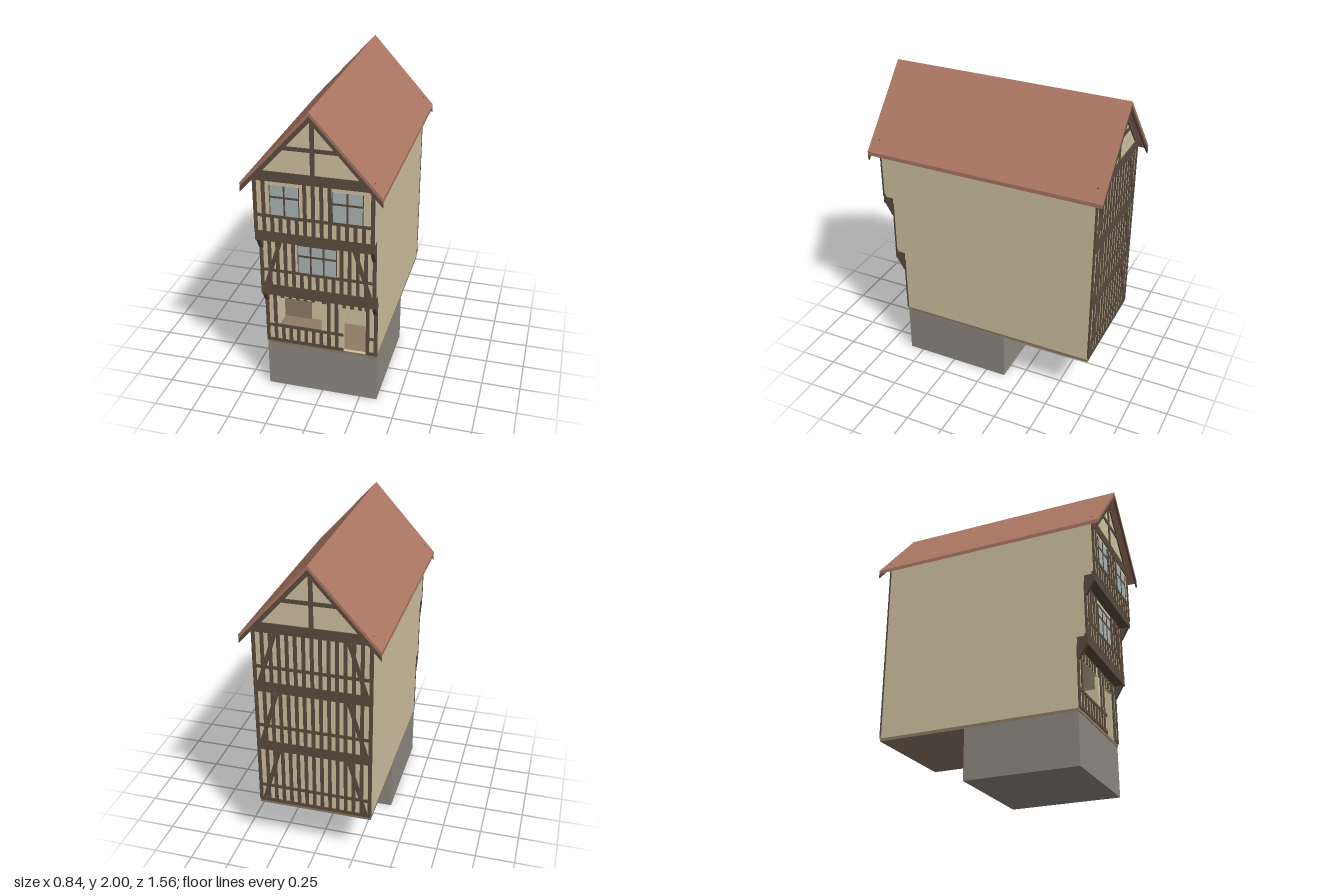
import * as THREE from 'three';

const mat = (name, color) => Object.assign(new THREE.MeshStandardMaterial({ color }), { name });

export function createModel() {
  const cream = mat('plaster', 0xd2c3a2);
  const wood = mat('dark timber', 0x5c4d40);
  const tan = mat('light timber', 0x8f7b66);
  const stone = mat('stone', 0x8f8a83);
  const tile = mat('roof tile', 0xab7763);
  const glass = mat('glass', 0xadb7b7);

  const model = new THREE.Group();
  model.name = 'timberHouse';

  const add = (name, geo, m, parent = model) => {
    const mesh = new THREE.Mesh(geo, m);
    mesh.name = name;
    parent.add(mesh);
    return mesh;
  };
  // Box given by its extents
  const box = (name, m, x0, x1, y0, y1, z0, z1, parent) => {
    const mesh = add(name, new THREE.BoxGeometry(x1 - x0, y1 - y0, z1 - z0), m, parent);
    mesh.position.set((x0 + x1) / 2, (y0 + y1) / 2, (z0 + z1) / 2);
    return mesh;
  };
  const poly = (pts, Type = THREE.Shape) => new Type(pts.map(p => new THREE.Vector2(...p)));
  const rect = (x0, x1, y0, y1) => [[x0, y0], [x1, y0], [x1, y1], [x0, y1]];
  // Outline in x and y, extruded from z0 to z1
  const slab = (name, m, shape, z0, z1, parent) => {
    const geo = new THREE.ExtrudeGeometry(shape, { depth: z1 - z0, bevelEnabled: false });
    return add(name, geo.translate(0, 0, z0), m, parent);
  };

  const W = 0.36, BACK = -0.725;
  const SLOPE = 0.465 / 0.42;
  const roofY = (x, drop) => 2 - drop - SLOPE * Math.abs(x);

  // Plinth and floor plate
  box('plinth', stone, -0.362, 0.362, 0, 0.325, -0.135, 0.595);
  box('floorPlate', tan, -W, W, 0.325, 0.345, BACK, 0.6);

  // Hollow ground floor with shop window and doorway
  const front = poly(rect(-W, W, 0.345, 0.74));
  front.holes.push(poly(rect(-0.29, 0, 0.46, 0.68), THREE.Path));
  front.holes.push(poly(rect(0.145, 0.29, 0.347, 0.67), THREE.Path));
  slab('groundFrontWall', cream, front, 0.58, 0.6);
  box('groundRear', cream, -W, W, 0.345, 0.74, BACK, 0.3);
  for (const s of [-1, 1]) {
    const a = s * W, b = s * (W - 0.02);
    box('groundSideWall', cream, Math.min(a, b), Math.max(a, b), 0.345, 0.74, 0.3, 0.58);
  }
  box('shopBackPanel', tan, -0.34, 0.34, 0.51, 0.74, 0.3, 0.308);
  box('shopLowerPanel', tan, -0.34, -0.155, 0.345, 0.51, 0.3, 0.308);

  // Jettied upper floors
  box('middleFloor', cream, -W, W, 0.74, 1.19, BACK, 0.6);
  box('middleFrontWall', cream, -W, W, 0.79, 1.19, 0.6, 0.66);
  slab('topFloor', cream, poly([[-W, 1.19], [W, 1.19], [W, 1.57], [0, 1.968], [-W, 1.57]]), BACK, 0.66);
  slab('topFrontWall', cream, poly([[-W, 1.19], [W, 1.19], [W, 1.57], [0, 1.968], [-W, 1.57]]), 0.66, 0.725);

  // Timber frame helpers, working on a wall plane at z = 0 facing +z
  const T = 0.006;
  const bar = (g, name, x0, x1, y0, y1) => box(name, wood, x0, x1, y0, y1, -0.004, T, g);
  const beamBetween = (g, name, x0, y0, x1, y1, w) => {
    const m = add(name, new THREE.BoxGeometry(w, Math.hypot(x1 - x0, y1 - y0), T + 0.006), wood, g);
    m.position.set((x0 + x1) / 2, (y0 + y1) / 2, 0.002);
    m.rotation.z = Math.atan2(x0 - x1, y1 - y0);
  };
  // Studs on an even spacing, left out where "skip" gives a range
  const studs = (g, y0, y1, skip = []) => {
    for (let i = -6; i <= 6; i++) {
      const x = i * 0.05;
      if (skip.some(([a, b]) => x > a - 0.008 && x < b + 0.008)) continue;
      bar(g, 'stud', x - 0.011, x + 0.011, y0, y1);
    }
  };
  const posts = (g, y0, y1) => {
    for (const s of [-1, 1]) bar(g, 'cornerPost', s * 0.352 - 0.011, s * 0.352 + 0.011, y0, y1);
  };
  const braces = (g, y0, y1) => {
    for (const s of [-1, 1]) beamBetween(g, 'brace', s * 0.33, y0, s * 0.22, y1, 0.024);
  };
  const gable = g => {
    bar(g, 'wallPlate', -0.363, 0.363, 1.54, 1.603);
    bar(g, 'kingPost', -0.013, 0.013, 1.6, 1.95);
    bar(g, 'collar', -0.19, 0.19, 1.742, 1.766);
    for (const s of [-1, 1]) beamBetween(g, 'rafter', s * 0.345, roofY(0.345, 0.045), 0, 1.955, 0.028);
  };
  const wallGroup = (name, z, back) => {
    const g = new THREE.Group();
    g.name = name;
    g.position.z = z;
    if (back) g.rotation.y = Math.PI;
    model.add(g);
    return g;
  };

  // Ground floor front frame
  const g0 = wallGroup('groundFrame', 0.6);
  bar(g0, 'sill', -W, 0.145, 0.345, 0.367);
  bar(g0, 'sill', 0.29, W, 0.345, 0.367);
  bar(g0, 'rail', -W, 0.145, 0.458, 0.477);
  bar(g0, 'rail', 0.29, W, 0.458, 0.477);
  posts(g0, 0.345, 0.74);
  studs(g0, 0.367, 0.46, [[0.145, 0.29]]);
  studs(g0, 0.47, 0.74, [[-0.29, 0], [0.145, 0.29]]);
  for (const x of [-0.25, -0.2, -0.15, -0.1, -0.05, 0.02]) bar(g0, 'headStud', x - 0.011, x + 0.011, 0.68, 0.74);
  for (const x of [0.15, 0.2, 0.25, 0.29]) bar(g0, 'headStud', x - 0.011, x + 0.011, 0.67, 0.74);

  // Middle floor front frame
  const g1 = wallGroup('middleFrame', 0.66);
  posts(g1, 0.79, 1.15);
  bar(g1, 'rail', -W, W, 0.902, 0.92);
  studs(g1, 0.79, 0.905);
  studs(g1, 0.91, 1.15, [[-0.12, 0.12]]);
  bar(g1, 'windowHead', -0.12, 0.12, 1.105, 1.115);
  braces(g1, 0.8, 1.147);

  // Top floor front frame
  const g2 = wallGroup('topFrame', 0.725);
  posts(g2, 1.2, 1.54);
  bar(g2, 'rail', -W, W, 1.308, 1.327);
  studs(g2, 1.2, 1.31);
  studs(g2, 1.32, 1.54, [[-0.26, -0.085], [0.115, 0.295]]);
  gable(g2);

  // Back frame, the same on all three floors
  const gb = wallGroup('backFrame', BACK, true);
  bar(gb, 'sill', -W, W, 0.345, 0.367);
  for (const [y0, y1, rail] of [[0.36, 0.74, 0.467], [0.79, 1.15, 0.911], [1.2, 1.54, 1.317]]) {
    posts(gb, y0, y1);
    studs(gb, y0, y1);
    bar(gb, 'rail', -W, W, rail - 0.01, rail + 0.01);
    braces(gb, y0, y1);
  }
  bar(gb, 'floorBeam', -0.363, 0.363, 0.735, 0.8);
  bar(gb, 'floorBeam', -0.363, 0.363, 1.147, 1.215);
  gable(gb);

  // Leaded windows
  const windowPane = (g, x0, x1, y0, y1, cols, yBar) => {
    box('glassPane', glass, x0, x1, y0, y1, -0.003, 0.003, g);
    for (let i = 0; i <= cols; i++) {
      const x = x0 + (x1 - x0) * i / cols, w = i % cols ? 0.005 : 0.002;
      bar(g, 'mullion', x - w, x + w, y0, y1);
    }
    bar(g, 'transom', x0, x1, yBar - 0.006, yBar + 0.006);
  };
  windowPane(g1, -0.12, 0.12, 0.92, 1.105, 3, 1.035);
  windowPane(g2, -0.26, -0.085, 1.327, 1.518, 2, 1.443);
  windowPane(g2, 0.115, 0.295, 1.327, 1.518, 2, 1.443);

  // Jetty beams and curved-in corner brackets
  for (const [z, y0, y1] of [[0.6, 0.735, 0.79], [0.66, 1.147, 1.195]]) {
    box('jettyBeam', wood, -0.362, 0.362, y0, y1, z, z + 0.068);
    box('jettySill', wood, -0.362, 0.362, y1, y1 + 0.018, z + 0.05, z + 0.068);
    for (const x of [-0.35, 0.35]) {
      const geo = new THREE.ExtrudeGeometry(
        poly([[0, y0], [0, y0 - 0.09], [0.015, y0 - 0.075], [0.058, y0]]),
        { depth: 0.024, bevelEnabled: false });
      // Profile x becomes z
      geo.translate(0, 0, -0.012).rotateY(-Math.PI / 2);
      add('bracket', geo, wood).position.set(x, 0, z);
    }
  }

  // Roof and bargeboards
  const chevron = (top, bottom) => poly([
    [0.42, roofY(0.42, top)], [0, 2 - top], [-0.42, roofY(0.42, top)],
    [-0.42, roofY(0.42, bottom)], [0, 2 - bottom], [0.42, roofY(0.42, bottom)]]);
  slab('roof', tile, chevron(0, 0.025), -0.78, 0.78);
  slab('bargeboard', wood, chevron(0.025, 0.056), 0.77, 0.78);
  slab('bargeboard', wood, chevron(0.025, 0.056), -0.78, -0.77);

  return model;
}
